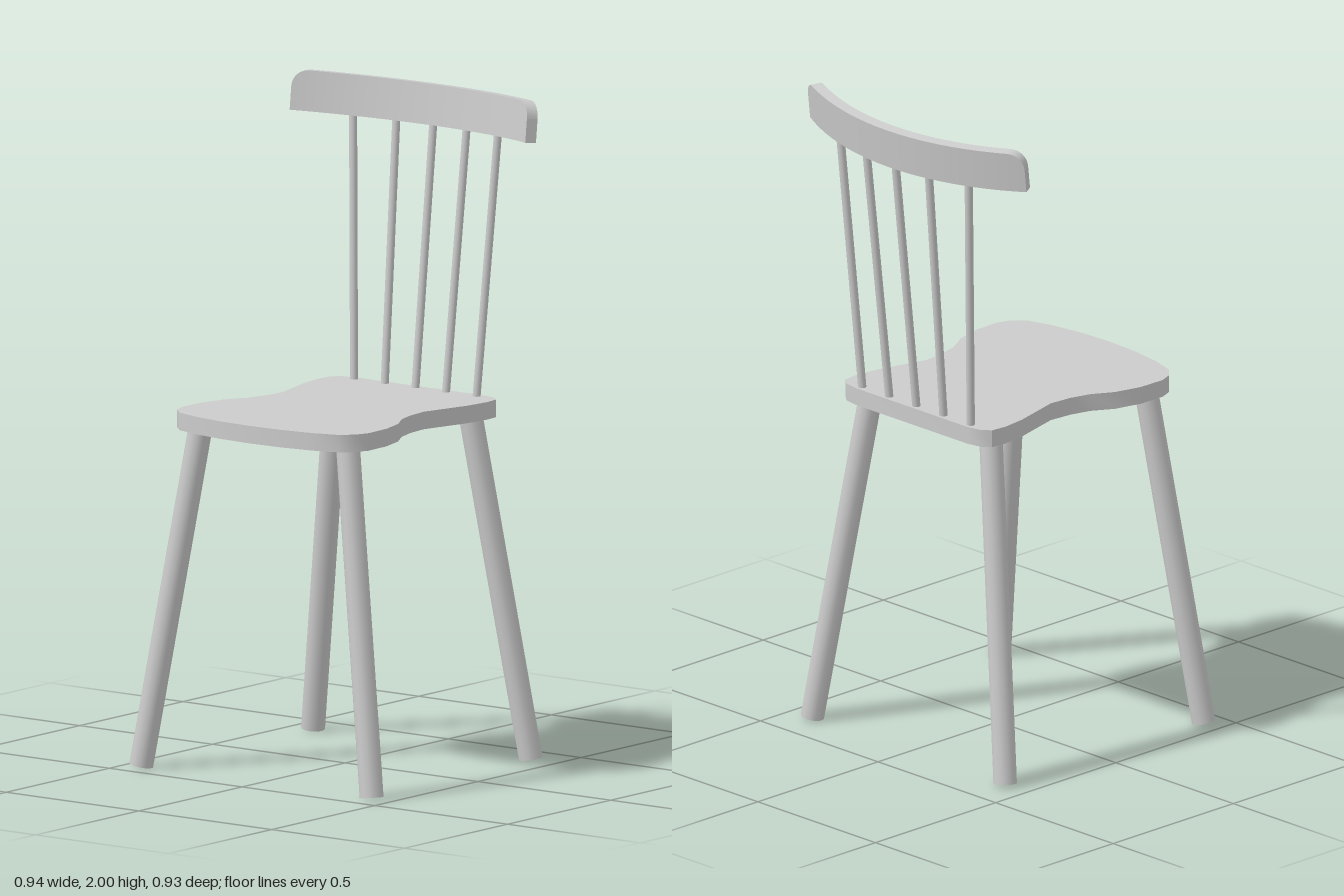
import * as THREE from 'three';
import { toCreasedNormals } from 'three/addons/utils/BufferGeometryUtils.js';

const material = new THREE.MeshStandardMaterial({ color: 0xcccccc });

function addMesh(parent, geometry, name) {
  const mesh = new THREE.Mesh(geometry, material);
  mesh.name = name;
  parent.add(mesh);
  return mesh;
}

// Straight round rod between two points
function addRod(parent, from, to, radius, sides, name) {
  const a = new THREE.Vector3(...from);
  const dir = new THREE.Vector3(...to).sub(a);
  const rod = addMesh(parent, new THREE.CylinderGeometry(radius, radius, dir.length(), sides), name);
  rod.position.copy(a).addScaledVector(dir, 0.5);
  rod.quaternion.setFromUnitVectors(new THREE.Vector3(0, 1, 0), dir.normalize());
  return rod;
}

// Waisted seat: half outline (x, z) from back to front, mirrored
function seatGeometry() {
  const half = [
    [0.24, -0.362], [0.285, -0.353], [0.312, -0.33], [0.317, -0.28], [0.307, -0.2],
    [0.265, -0.04], [0.272, 0.035], [0.29, 0.1], [0.328, 0.165], [0.35, 0.25],
    [0.352, 0.34], [0.335, 0.383], [0.3, 0.417], [0.22, 0.441], [0.11, 0.457],
  ];
  const points = [
    ...half.map(([x, z]) => new THREE.Vector2(x, z)),
    new THREE.Vector2(0, 0.462),
    ...half.slice().reverse().map(([x, z]) => new THREE.Vector2(-x, z)),
  ];
  const geometry = new THREE.ExtrudeGeometry(new THREE.Shape(points), { depth: 0.053, bevelEnabled: false });
  geometry.rotateX(Math.PI / 2);
  return toCreasedNormals(geometry, 0.7);
}

// Top rail: a box bent round an arc, with rounded upper corners
function railGeometry() {
  const inner = 0.943, thickness = 0.035, height = 0.122, halfAngle = 0.49, corner = 0.05;
  const geometry = new THREE.BoxGeometry(2, 1, 1, 48, 1, 1);
  const p = geometry.attributes.position;
  for (let i = 0; i < p.count; i++) {
    const angle = halfAngle * Math.sin(p.getX(i) * Math.PI / 2);
    const radius = inner + thickness * (0.5 - p.getZ(i));
    const toEnd = (halfAngle - Math.abs(angle)) * inner;
    const d = Math.max(0, corner - toEnd);
    const top = height - corner + Math.sqrt(Math.max(0, corner * corner - d * d));
    p.setXYZ(i, radius * Math.sin(angle), (p.getY(i) + 0.5) * top, inner - radius * Math.cos(angle));
  }
  geometry.computeVertexNormals();
  return geometry;
}

export function createModel() {
  const chair = new THREE.Group();
  chair.name = 'chair';

  addMesh(chair, seatGeometry(), 'seat').position.y = 1.086;

  // Splayed legs
  for (const [side, label] of [[1, 'Left'], [-1, 'Right']]) {
    addRod(chair, [side * 0.434, 0.006, 0.43], [side * 0.277, 1.04, 0.343], 0.036, 12, `front${label}Leg`);
    addRod(chair, [side * 0.41, 0.006, -0.372], [side * 0.255, 1.04, -0.28], 0.036, 12, `back${label}Leg`);
  }

  // Back spindles fanning out towards the rail
  const spindles = new THREE.Group();
  spindles.name = 'spindles';
  chair.add(spindles);
  for (let i = -2; i <= 2; i++) {
    const topX = i * 0.137 - Math.sign(i) * 0.004 * (2 - Math.abs(i));
    const topZ = -0.43 + topX * topX / 1.92;
    addRod(spindles, [i * 0.115, 1.07, -0.339], [topX, 1.9, topZ], 0.0125, 10, 'spindle');
  }

  // Curved rail leaning backwards
  const rail = addMesh(chair, railGeometry(), 'topRail');
  rail.position.set(0, 1.869, -0.412);
  rail.rotation.x = -0.113;

  return chair;
}
